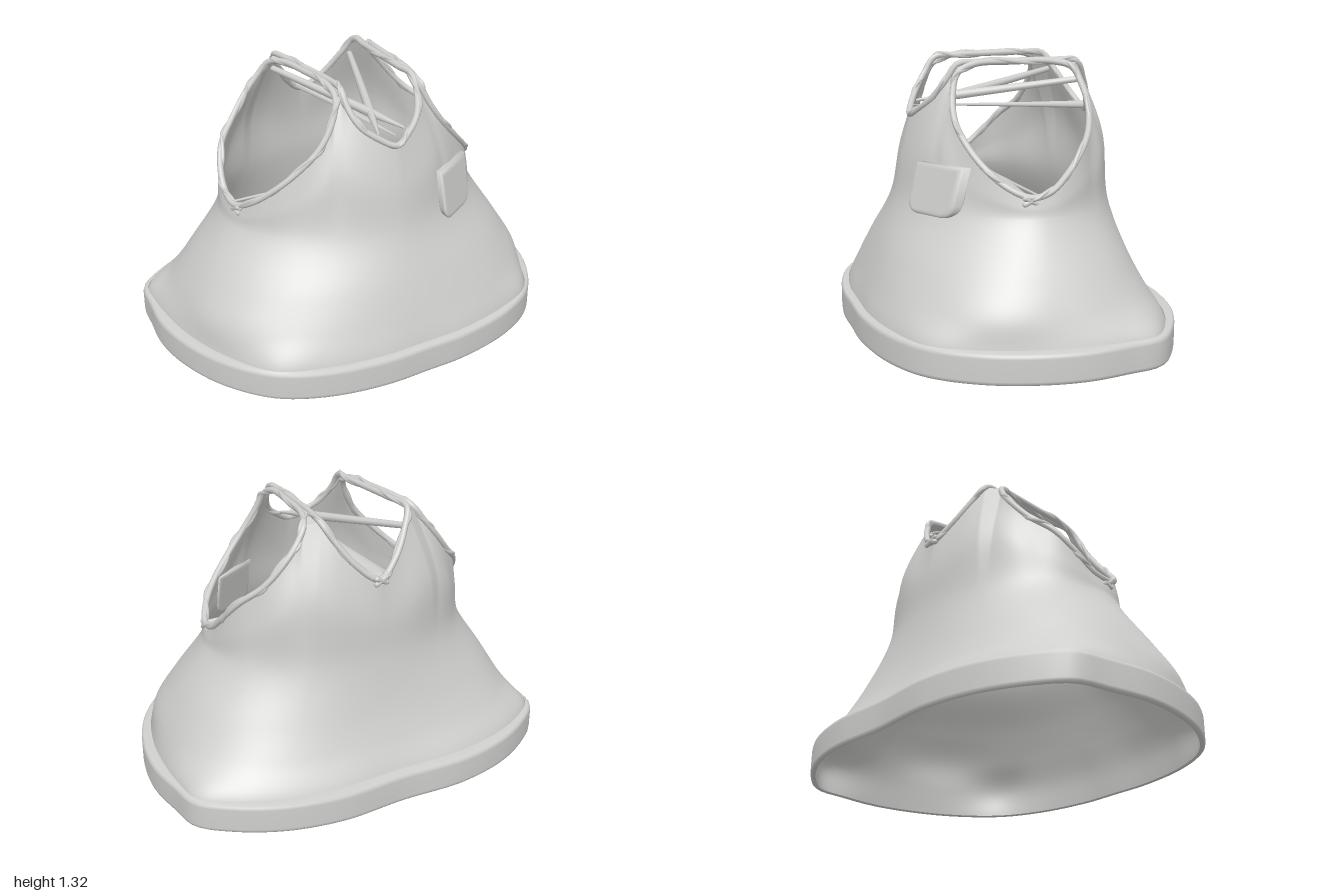
import * as THREE from 'three';
import { mergeVertices } from 'three/addons/utils/BufferGeometryUtils.js';

const V = (x, y, z) => new THREE.Vector3(x, y, z);
const toV = (list) => list.map((p) => V(...p));
const mirrorX = (p) => V(-p.x, p.y, p.z);
const cloth = new THREE.MeshStandardMaterial({ color: 0xcfcfcd, side: THREE.DoubleSide });
cloth.name = 'light grey cloth';

function mesh(name, geometry) {
  const m = new THREE.Mesh(geometry, cloth);
  m.name = name;
  return m;
}

// surface through equal-length rows of points
function loft(rows, closed) {
  const n = rows[0].length, index = [];
  for (let j = 0; j < rows.length - 1; j++) {
    for (let i = 0; i < (closed ? n : n - 1); i++) {
      const k = (i + 1) % n, a = j * n + i, b = j * n + k;
      index.push(a, b, b + n, a, b + n, a + n);
    }
  }
  const g = new THREE.BufferGeometry().setFromPoints(rows.flat());
  g.setIndex(index);
  g.computeVertexNormals();
  return g;
}

const angleOf = (p) => Math.atan2(p.x, p.z);
const at = (t, r, y) => V(Math.sin(t) * r, y, Math.cos(t) * r);

// radius by angle of a symmetric outline given front to back as [x, z]
function outline(half) {
  const right = half.map(([x, z]) => V(x, 0, z));
  const ring = [...right, ...right.slice(1, -1).reverse().map(mirrorX)];
  const pts = new THREE.CatmullRomCurve3(ring, true).getPoints(400).slice(0, 201);
  return (t) => {
    const a = Math.acos(Math.cos(t));
    let i = 1;
    while (i < pts.length - 1 && Math.abs(angleOf(pts[i])) < a) i++;
    const p = pts[i - 1], q = pts[i], pa = Math.abs(angleOf(p)), qa = Math.abs(angleOf(q));
    const f = qa > pa ? THREE.MathUtils.clamp((a - pa) / (qa - pa), 0, 1) : 0;
    return THREE.MathUtils.lerp(Math.hypot(p.x, p.z), Math.hypot(q.x, q.z), f);
  };
}

// superellipse radius with separate depth and squareness for front and back
function oval(w, front, back, nFront, nBack) {
  return (t) => {
    const c = Math.cos(t), [d, n] = c > 0 ? [front, nFront] : [back, nBack];
    return (Math.abs(Math.sin(t) / w) ** n + Math.abs(c / d) ** n) ** (-1 / n);
  };
}

const bandLine = outline([[0, 0.74], [0.22, 0.737], [0.5, 0.68], [0.72, 0.565], [0.88, 0.36], [0.97, 0.12],
  [0.998, -0.1], [0.975, -0.3], [0.945, -0.46], [0.82, -0.575], [0.6, -0.69], [0.33, -0.747], [0, -0.737]]);
const hemLine = outline([[0, 0.7], [0.22, 0.697], [0.48, 0.648], [0.71, 0.55], [0.85, 0.32], [0.92, 0.1],
  [0.945, -0.1], [0.945, -0.3], [0.925, -0.44], [0.79, -0.55], [0.58, -0.64], [0.32, -0.685], [0, -0.68]]);

// edges of the openings on the +x side
const neckFront = toV([[0, 1.045, 0.43], [0.075, 1.08, 0.405], [0.15, 1.14, 0.36], [0.185, 1.22, 0.305], [0.19, 1.295, 0.25]]);
const neckBack = toV([[0.225, 1.295, -0.33], [0.18, 1.21, -0.385], [0.1, 1.1, -0.44], [0, 1.03, -0.475]]);
const armhole = toV([[0.22, 1.26, 0.255], [0.26, 1.16, 0.293], [0.33, 1.055, 0.305], [0.42, 0.96, 0.28],
  [0.52, 0.865, 0.225], [0.6, 0.785, 0.14], [0.64, 0.745, 0.045], [0.64, 0.765, -0.045], [0.625, 0.84, -0.13],
  [0.575, 0.94, -0.22], [0.49, 1.02, -0.285], [0.4, 1.125, -0.315], [0.33, 1.21, -0.31], [0.285, 1.275, -0.285]]);
const strapNeck = toV([[0.185, 1.302, 0.15], [0.195, 1.303, 0], [0.21, 1.303, -0.2]]);
const strapArm = toV([[0.215, 1.297, 0.17], [0.225, 1.303, 0], [0.25, 1.3, -0.2]]);
const smooth = (pts, n) => new THREE.CatmullRomCurve3(pts).getPoints(n);

// even out the column angles so the skirt falls without folds
function relaxAngles(angles, passes, reach) {
  const n = angles.length, turn = Math.PI * 2;
  for (let k = 0; k < passes; k++) {
    const old = angles;
    angles = old.map((_, i) => {
      let sum = 0;
      for (let d = -reach; d <= reach; d++) sum += old[(i + d + n) % n] + turn * Math.floor((i + d) / n);
      return sum / (2 * reach + 1);
    });
  }
  return angles;
}

function body() {
  const half = [...smooth(neckFront, 16), ...smooth(armhole, 52), ...smooth(neckBack, 16)];
  const top = [...half, ...half.slice(1, -1).reverse().map(mirrorX)];
  const raw = top.map((p, i) => (i < half.length ? Math.abs(angleOf(p)) : Math.PI * 2 - Math.abs(angleOf(p))));
  const angles = relaxAngles(raw, 3, 5);
  const levels = [[0.005, (t) => bandLine(t) * 0.975], [0.14, hemLine],
    [0.27, oval(0.89, 0.66, 0.62, 2.35, 2.9)], [0.42, oval(0.81, 0.605, 0.565, 2.1, 2.5)],
    [0.65, oval(0.67, 0.515, 0.515, 1.74, 2.15)]];
  const columns = top.map((p, i) => {
    const pts = levels.map(([y, r]) => at(angles[i], r(angles[i]), y));
    // chest and shoulder blades swell outwards below the shoulders
    const swell = 1 + Math.max(0, p.y - 1) * (0.3 - 0.06 * Math.cos(angles[i]));
    const chest = pts[4].clone().lerp(p, 0.5).multiply(V(swell, 1, swell));
    return new THREE.CatmullRomCurve3([...pts, chest, p]).getPoints(48);
  });
  return mesh('body', loft(columns[0].map((_, j) => columns.map((c) => c[j])), true));
}

// raised hem with a rounded upper edge running in to the body
function hemBand() {
  const angles = Array.from({ length: 144 }, (_, i) => (i / 144) * Math.PI * 2 - Math.PI);
  const wall = [[0.005, 0.972], [0, 0.988], [0.008, 0.998], [0.02, 1], [0.12, 1], [0.134, 0.997], [0.141, 0.988]];
  const rows = wall.map(([y, s]) => angles.map((t) => at(t, bandLine(t) * s, y)));
  rows.push(angles.map((t) => at(t, hemLine(t) * 1.002, 0.144)));
  return mesh('hemBand', loft(rows, true));
}

// cord with a second thinner strand wound round it
function binding(name, pts, r, turns) {
  const path = new THREE.CatmullRomCurve3(pts, true);
  const group = new THREE.Group();
  group.name = name;
  group.add(mesh('cord', new THREE.TubeGeometry(path, 120, r, 8, true)));
  const wound = Array.from({ length: 120 }, (_, i) => {
    const a = (i / 120) * Math.PI * 2 * turns;
    return path.getPoint(i / 120).add(V(Math.cos(a) * r * 0.7, Math.sin(a) * r * 0.7, Math.sin(a + 1) * r * 0.6));
  });
  group.add(mesh('strand', new THREE.TubeGeometry(new THREE.CatmullRomCurve3(wound, true), 160, r * 0.65, 6, true)));
  return group;
}

// thin thread, widest at fraction f of its length, optionally flattened
function thread(name, from, to, r, f, endR, flat = 1) {
  const a = V(...from), b = V(...to), len = a.distanceTo(b);
  const profile = [[0.006, 0], [r, len * f], [endR, len]].map(([x, y]) => new THREE.Vector2(x, y));
  const m = mesh(name, new THREE.LatheGeometry(profile, 8));
  m.position.copy(a);
  m.quaternion.setFromUnitVectors(V(0, 1, 0), b.sub(a).normalize());
  m.scale.z = flat;
  return m;
}

// crossed loose cord ends
function knot(name, x, y, z, alongX) {
  const group = new THREE.Group();
  group.name = name;
  for (const s of [-1, 1]) {
    const end = mesh('cordEnd', new THREE.CapsuleGeometry(0.013, 0.06, 4, 8));
    end.rotation.set(alongX ? 0.3 * s : 1.1 * s, 0, alongX ? 1.1 * s : 0);
    group.add(end);
  }
  group.position.set(x, y, z);
  return group;
}

// cushioned patch with rounded lower corners
function pocket() {
  const s = new THREE.Shape();
  s.moveTo(0.25, 0.84);
  s.lineTo(0.25, 0.69);
  s.quadraticCurveTo(0.252, 0.65, 0.29, 0.648);
  s.lineTo(0.41, 0.648);
  s.quadraticCurveTo(0.448, 0.65, 0.45, 0.69);
  s.lineTo(0.45, 0.84);
  s.closePath();
  const raw = new THREE.ExtrudeGeometry(s, { depth: 0.03, bevelSize: 0.02, bevelThickness: 0.015, bevelSegments: 4, curveSegments: 8 });
  raw.deleteAttribute('uv');
  raw.deleteAttribute('normal');
  const g = mergeVertices(raw, 1e-4), p = g.attributes.position;
  // lean the pocket onto the slope of the body
  for (let i = 0; i < p.count; i++) {
    p.setZ(i, p.getZ(i) + 0.375 - 0.6 * (p.getX(i) - 0.35) - 0.25 * (p.getY(i) - 0.745));
  }
  g.computeVertexNormals();
  return mesh('pocket', g);
}

export function createModel() {
  const model = new THREE.Group();
  model.name = 'sleevelessDress';
  model.add(body(), hemBand(), pocket());

  // neck edging
  const neckHalf = [...neckFront, ...strapNeck, ...neckBack];
  model.add(binding('neckBinding', [...neckHalf, ...neckHalf.slice(1, -1).reverse().map(mirrorX)], 0.015, 9));

  // armhole edging, shoulder straps and side knots
  const armLoop = [...armhole, ...[...strapArm].reverse()];
  const inner = smooth([neckFront[4], ...strapNeck, neckBack[0]], 24);
  const outer = smooth([armhole[0], ...strapArm, armhole[armhole.length - 1]], 24);
  for (const [side, sx] of [['left', 1], ['right', -1]]) {
    const place = (list) => (sx > 0 ? list : list.map(mirrorX));
    model.add(binding(side + 'ArmholeBinding', place(armLoop), 0.015, 8));
    model.add(mesh(side + 'ShoulderStrap', loft([place(outer), place(inner)], false)));
    model.add(knot(side + 'ArmholeKnot', 0.64 * sx, 0.73, 0.05, false));
    model.add(thread(side + 'NeckThread', [0.07 * sx, 1.1, 0.38], [-0.22 * sx, 1.21, -0.36], 0.022, 0.25, 0.015));
  }
  model.add(knot('backNeckKnot', 0, 1.03, -0.49, true));

  // threads stretched across the openings
  model.add(thread('backNeckThread', [0, 1.09, 0.41], [0, 1.05, -0.48], 0.03, 0.65, 0.05, 0.4));
  model.add(thread('armholeThreadA', [-0.64, 0.75, 0.02], [0.64, 0.74, 0.06], 0.016, 0.8, 0.012));
  model.add(thread('armholeThreadB', [0.64, 0.755, 0.02], [-0.64, 0.74, 0.085], 0.016, 0.8, 0.012));
  return model;
}
